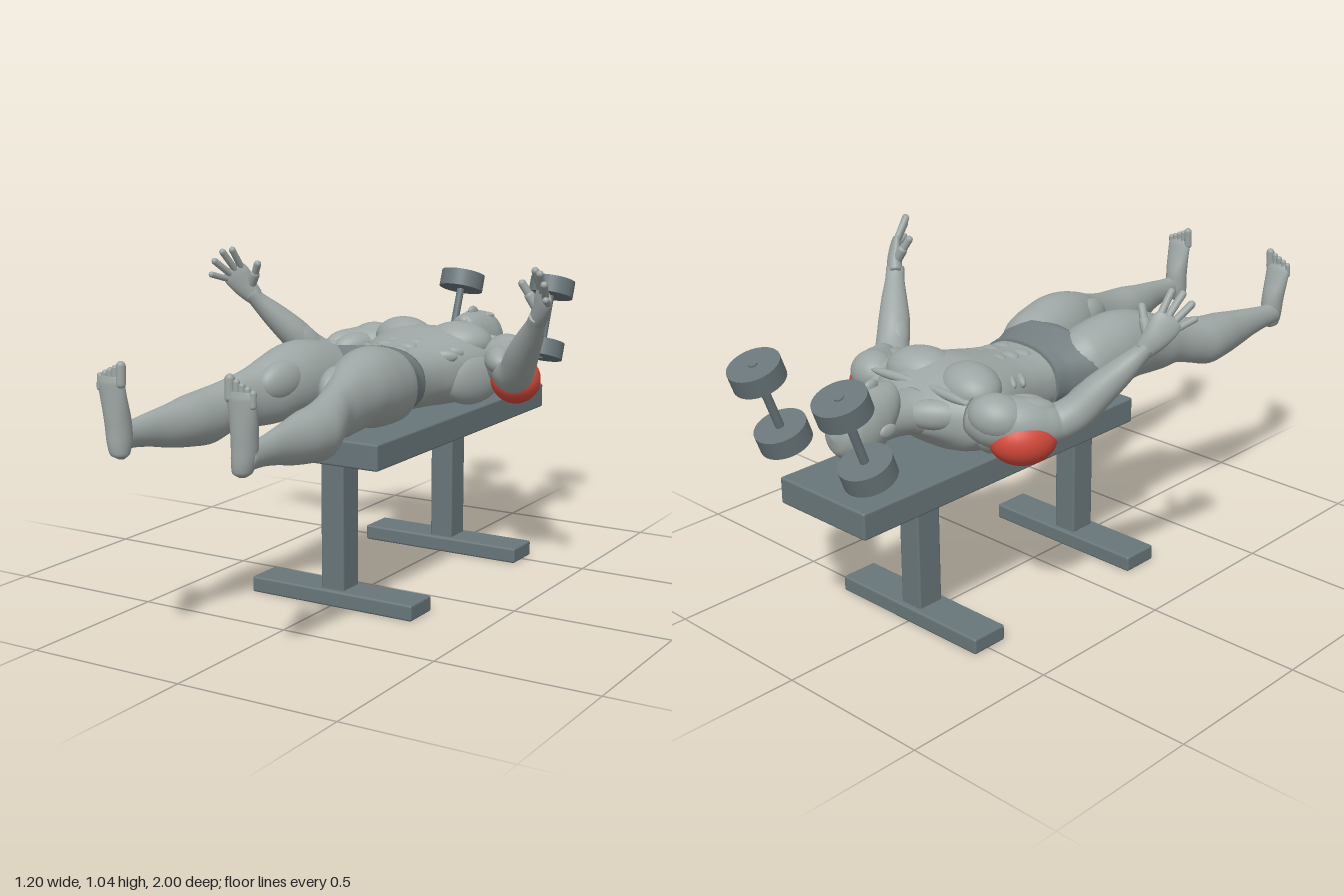
import * as THREE from 'three';
import { RoundedBoxGeometry } from 'three/addons/geometries/RoundedBoxGeometry.js';

const mat = (name, color) => Object.assign(new THREE.MeshStandardMaterial({ color }), { name });
const V = (x, y, z) => new THREE.Vector3(x, y, z);

export function createModel() {
  const model = new THREE.Group();
  model.name = 'liftingFigureOnBench';
  const skin = mat('grey body', 0x9da6a4);
  const cloth = mat('shorts grey', 0x757f81);
  const metal = mat('equipment grey', 0x69767a);
  const red = mat('highlighted muscle red', 0xd5493b);

  const add = (parent, name, geo, material) => {
    const m = new THREE.Mesh(geo, material);
    m.name = name;
    parent.add(m);
    return m;
  };
  const box = (parent, name, size, pos) =>
    add(parent, name, new RoundedBoxGeometry(...size, 2, 0.007), metal).position.set(...pos);

  // Smooth skin through oval sections [x, y, z, radiusU, radiusV]
  const loft = (rows, { axis, ref = V(0, 1, 0), square = 1, side = 1 } = {}) => {
    const path = new THREE.CatmullRomCurve3(rows.map(r => V(r[0] * side, r[1], r[2])));
    const radii = new THREE.CatmullRomCurve3(rows.map(r => V(r[3], r[4], 0)));
    const steps = (rows.length - 1) * 5, n = 36, pos = [], idx = [];
    const bend = c => Math.sign(c) * Math.abs(c) ** square;
    for (let i = 0; i <= steps; i++) {
      const t = i / steps, c = path.getPoint(t), r = radii.getPoint(t);
      const T = axis || path.getTangent(t);
      const U = ref.clone().cross(T).normalize(), W = T.clone().cross(U).normalize();
      for (let j = 0; j < n; j++) {
        const a = j / n * Math.PI * 2;
        const p = c.clone().addScaledVector(U, bend(Math.cos(a)) * Math.max(r.x, 0.001))
          .addScaledVector(W, bend(Math.sin(a)) * Math.max(r.y, 0.001));
        pos.push(p.x, p.y, p.z);
        if (i < steps) {
          const k = i * n + j, l = i * n + (j + 1) % n;
          idx.push(k, l, k + n, l, l + n, k + n);
        }
      }
    }
    // Close both ends
    for (const [row, flip] of [[0, true], [steps, false]]) {
      for (let j = 1; j < n - 1; j++) {
        const b = row * n;
        idx.push(b, flip ? b + j + 1 : b + j, flip ? b + j : b + j + 1);
      }
    }
    const g = new THREE.BufferGeometry();
    g.setAttribute('position', new THREE.Float32BufferAttribute(pos, 3));
    g.setIndex(idx);
    g.computeVertexNormals();
    return g;
  };

  // Ellipsoid muscle whose long axis (third radius) follows dir
  const muscle = (parent, name, pos, radii, dir = [0, 0, 1], material = skin) => {
    const m = add(parent, name, new THREE.SphereGeometry(1, 28, 20), material);
    m.scale.set(...radii);
    m.position.set(...pos);
    m.quaternion.setFromRotationMatrix(new THREE.Matrix4().lookAt(V(...dir), V(0, 0, 0), V(0, 1, 0)));
  };
  // Rounded rod between two points
  const rod = (parent, name, a, b, r) => {
    const d = b.clone().sub(a);
    const m = add(parent, name, new THREE.CapsuleGeometry(r, d.length(), 6, 12), skin);
    m.position.copy(a).addScaledVector(d, 0.5);
    m.quaternion.setFromUnitVectors(V(0, 1, 0), d.normalize());
  };

  // Bench
  const bench = new THREE.Group();
  bench.name = 'bench';
  model.add(bench);
  box(bench, 'benchPad', [0.352, 0.082, 1.125], [0, 0.485, -0.298]);
  for (const z of [0.19, -0.495]) {
    box(bench, 'benchPost', [0.08, 0.42, 0.09], [0, 0.24, z]);
    box(bench, 'benchFoot', [0.57, 0.05, 0.123], [0, 0.025, z]);
  }

  // Dumbbells
  for (const s of [1, -1]) {
    const bell = new THREE.Group();
    bell.name = 'dumbbell';
    bell.position.set(0.176 * s, 0.753, -0.877);
    bell.rotation.x = -0.36;
    add(bell, 'dumbbellHandle', new THREE.CylinderGeometry(0.013, 0.013, 0.285, 16), metal);
    for (const e of [1, -1]) {
      add(bell, 'dumbbellWeight', new THREE.CylinderGeometry(0.077, 0.077, 0.058, 40), metal).position.y = e * 0.109;
    }
    model.add(bell);
  }

  // Torso, neck, head and shorts
  const body = new THREE.Group();
  body.name = 'figure';
  model.add(body);
  const Z = V(0, 0, 1);
  add(body, 'torso', loft([
    [0, 0.665, -0.535, 0.06, 0.05], [0, 0.662, -0.50, 0.15, 0.07], [0, 0.655, -0.46, 0.215, 0.1],
    [0, 0.655, -0.40, 0.23, 0.122], [0, 0.658, -0.33, 0.212, 0.127], [0, 0.655, -0.25, 0.182, 0.118],
    [0, 0.65, -0.17, 0.157, 0.108], [0, 0.648, -0.10, 0.148, 0.102], [0, 0.65, -0.03, 0.148, 0.1],
  ], { axis: Z, square: 0.85 }), skin);
  add(body, 'neck', loft([
    [0, 0.675, -0.68, 0.055, 0.06], [0, 0.675, -0.60, 0.058, 0.058],
    [0, 0.67, -0.55, 0.066, 0.06], [0, 0.665, -0.49, 0.11, 0.07],
  ], { axis: Z }), skin);
  add(body, 'head', loft([
    [0, 0.68, -0.812, 0.004, 0.004], [0, 0.68, -0.80, 0.042, 0.05], [0, 0.685, -0.76, 0.07, 0.09],
    [0, 0.689, -0.71, 0.078, 0.1], [0, 0.699, -0.66, 0.073, 0.092], [0, 0.718, -0.62, 0.06, 0.071],
    [0, 0.732, -0.592, 0.042, 0.051], [0, 0.738, -0.578, 0.006, 0.008],
  ], { axis: Z }), skin);
  muscle(body, 'nose', [0, 0.787, -0.667], [0.013, 0.021, 0.03], [0, 0.35, 1]);
  muscle(body, 'upperLip', [0, 0.781, -0.634], [0.024, 0.009, 0.006]);
  muscle(body, 'lowerLip', [0, 0.778, -0.622], [0.02, 0.009, 0.006]);
  muscle(body, 'chin', [0, 0.765, -0.597], [0.022, 0.018, 0.016]);
  add(body, 'shorts', loft([
    [0, 0.652, -0.063, 0.153, 0.105], [0, 0.654, -0.02, 0.16, 0.108], [0, 0.658, 0.03, 0.182, 0.111],
    [0, 0.662, 0.075, 0.203, 0.115], [0, 0.662, 0.082, 0.198, 0.112], [0, 0.66, 0.11, 0.09, 0.105],
    [0, 0.66, 0.135, 0.03, 0.07],
  ], { axis: Z, square: 0.87 }), cloth);

  for (const s of [1, -1]) {
    // Face and torso muscles
    muscle(body, 'ear', [0.079 * s, 0.682, -0.675], [0.01, 0.02, 0.03]);
    muscle(body, 'brow', [0.032 * s, 0.775, -0.718], [0.023, 0.009, 0.007]);
    muscle(body, 'eye', [0.03 * s, 0.774, -0.702], [0.014, 0.008, 0.007]);
    muscle(body, 'trapezius', [0.085 * s, 0.68, -0.505], [0.04, 0.045, 0.09], [0.8 * s, 0, 0.6]);
    muscle(body, 'collarbone', [0.1 * s, 0.737, -0.475], [0.014, 0.014, 0.1], [s, 0, -0.1]);
    muscle(body, 'chestMuscle', [0.1 * s, 0.733, -0.375], [0.085, 0.068, 0.11], [s, 0, -0.35]);
    muscle(body, 'sideBackMuscle', [0.175 * s, 0.63, -0.33], [0.05, 0.085, 0.13], [-0.3 * s, 0, 1]);
    for (let i = 0; i < 4; i++) {
      muscle(body, 'abdominal', [0.037 * s, 0.756 - i * 0.006, -0.255 + i * 0.052], [0.035, 0.015, 0.027]);
    }
    for (let i = 0; i < 3; i++) {
      muscle(body, 'ribMuscle', [0.14 * s, 0.725 - i * 0.006, -0.29 + i * 0.04], [0.014, 0.02, 0.04], [-s, 0, 0.6]);
    }

    // Arm
    const arm = new THREE.Group();
    arm.name = s > 0 ? 'leftArm' : 'rightArm';
    body.add(arm);
    add(arm, 'armSkin', loft([
      [0.17, 0.68, -0.43, 0.06, 0.06], [0.24, 0.678, -0.415, 0.078, 0.078], [0.295, 0.672, -0.37, 0.075, 0.076],
      [0.325, 0.663, -0.32, 0.067, 0.066], [0.348, 0.664, -0.275, 0.057, 0.055], [0.38, 0.69, -0.237, 0.053, 0.054],
      [0.42, 0.75, -0.19, 0.05, 0.05], [0.465, 0.81, -0.145, 0.04, 0.04], [0.5, 0.858, -0.108, 0.03, 0.028],
      [0.517, 0.885, -0.09, 0.029, 0.024],
    ], { side: s }), skin);
    const armDir = [0.5 * s, -0.05, 0.86];
    muscle(arm, 'triceps', [0.306 * s, 0.632, -0.376], [0.08, 0.077, 0.1], armDir, red);
    muscle(arm, 'shoulderMuscle', [0.255 * s, 0.698, -0.425], [0.07, 0.066, 0.085], [0.8 * s, -0.15, 0.5]);
    muscle(arm, 'outerBiceps', [0.305 * s, 0.705, -0.355], [0.042, 0.042, 0.085], armDir);
    muscle(arm, 'innerBiceps', [0.265 * s, 0.695, -0.335], [0.045, 0.045, 0.08], armDir);
    muscle(arm, 'forearmMuscle', [0.385 * s, 0.72, -0.215], [0.042, 0.042, 0.09], [0.45 * s, 0.7, 0.5]);

    // Hand
    add(arm, 'palm', loft([
      [0.507, 0.87, -0.1, 0.029, 0.024], [0.53, 0.905, -0.08, 0.038, 0.023], [0.546, 0.94, -0.06, 0.044, 0.018],
      [0.556, 0.962, -0.047, 0.038, 0.012], [0.559, 0.969, -0.043, 0.008, 0.004],
    ], { side: s, ref: V(0.626 * s, 0.143, -0.736) }), skin);
    [[0.536, 1.028, -0.02], [0.56, 1.022, 0], [0.581, 0.993, 0.015], [0.59, 0.95, 0.02]].forEach((tip, i) => {
      const root = V((0.534 + i * 0.0127) * s, 0.97 - i * 0.0127, -0.063 + i * 0.009);
      rod(arm, 'finger', root, V(tip[0] * s, tip[1], tip[2]), 0.011 - (i === 3) * 0.001);
    });
    rod(arm, 'thumbBase', V(0.515 * s, 0.905, -0.088), V(0.492 * s, 0.945, -0.08), 0.016);
    rod(arm, 'thumb', V(0.492 * s, 0.945, -0.08), V(0.472 * s, 0.982, -0.068), 0.012);

    // Leg
    const leg = new THREE.Group();
    leg.name = s > 0 ? 'leftLeg' : 'rightLeg';
    body.add(leg);
    add(leg, 'legSkin', loft([
      [0.1, 0.66, 0.03, 0.075, 0.085], [0.107, 0.665, 0.075, 0.097, 0.11], [0.11, 0.672, 0.12, 0.105, 0.117],
      [0.118, 0.682, 0.2, 0.106, 0.122], [0.125, 0.688, 0.28, 0.098, 0.113], [0.135, 0.676, 0.36, 0.08, 0.103],
      [0.15, 0.665, 0.42, 0.066, 0.09], [0.165, 0.66, 0.48, 0.057, 0.077], [0.18, 0.645, 0.54, 0.064, 0.077],
      [0.192, 0.632, 0.6, 0.071, 0.08], [0.196, 0.632, 0.67, 0.066, 0.074], [0.2, 0.632, 0.75, 0.051, 0.062],
      [0.207, 0.636, 0.83, 0.036, 0.048], [0.211, 0.637, 0.9, 0.03, 0.038], [0.211, 0.637, 0.965, 0.029, 0.036],
    ], { axis: Z, side: s }), skin);
    muscle(leg, 'kneecap', [0.162 * s, 0.712, 0.455], [0.032, 0.03, 0.045]);
    muscle(leg, 'innerThighMuscle', [0.092 * s, 0.705, 0.36], [0.042, 0.06, 0.085], [0.25 * s, -0.1, 1]);

    // Foot
    add(leg, 'foot', loft([
      [0.197, 0.583, 0.966, 0.008, 0.01], [0.199, 0.595, 0.967, 0.027, 0.026], [0.203, 0.635, 0.962, 0.037, 0.034],
      [0.206, 0.69, 0.964, 0.035, 0.037], [0.209, 0.75, 0.974, 0.024, 0.042], [0.21, 0.79, 0.981, 0.016, 0.044],
      [0.21, 0.808, 0.984, 0.008, 0.036],
    ], { axis: V(0, 1, 0), ref: V(1, 0, 0), side: s }), skin);
    for (let i = 0; i < 5; i++) {
      const x = (0.178 + i * 0.017 - (i === 0) * 0.003) * s;
      rod(leg, 'toe', V(x, 0.79 - i * 0.004, 0.983), V(x, 0.838 - i * 0.008, 0.981), i ? 0.009 : 0.013);
    }
  }
  return model;
}
